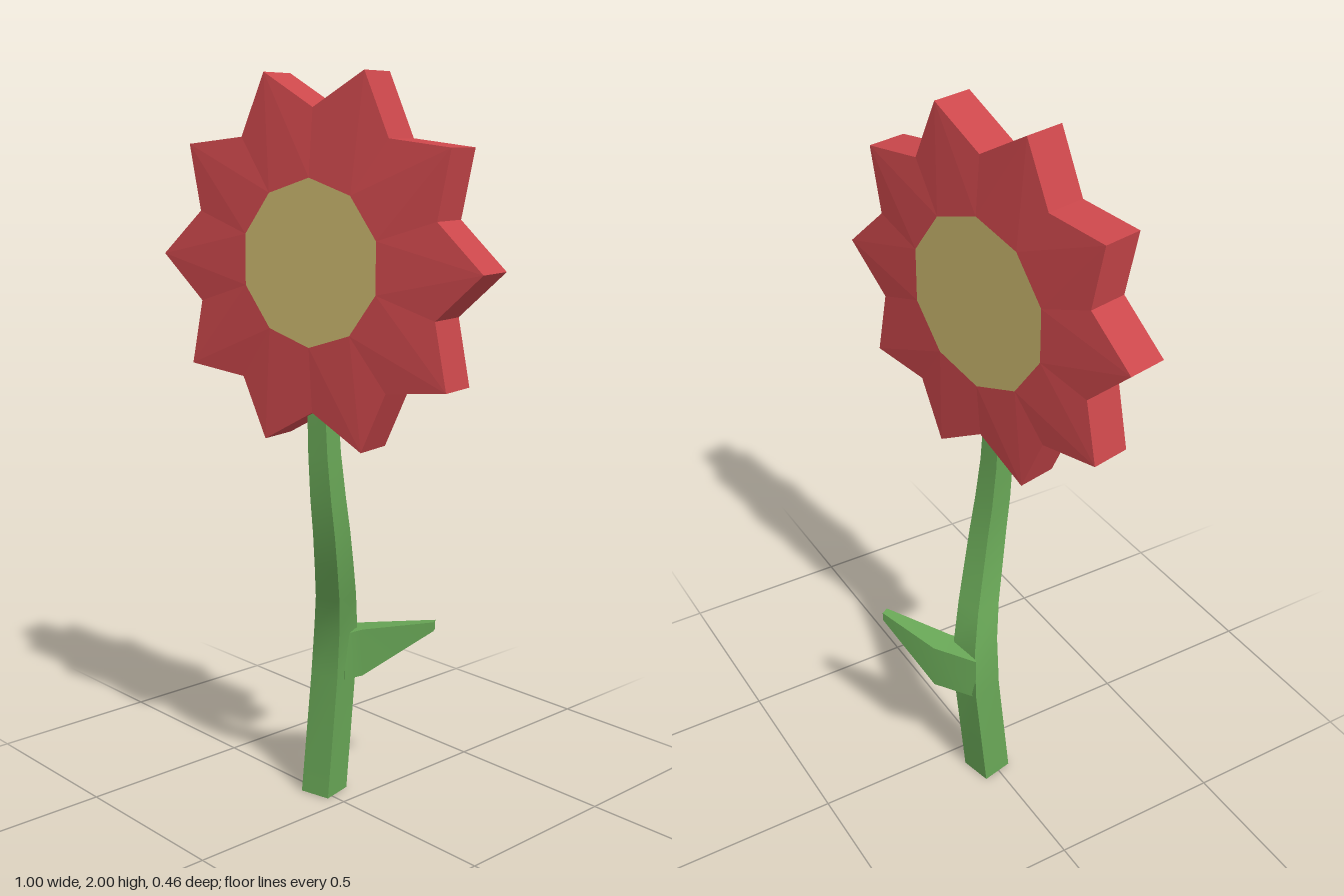
import * as THREE from 'three';

const YAW = 0.218;
const V = (x, y, z) => new THREE.Vector3(x, y, z);

// Joins four-cornered rings; each side is its own strip, so the long edges stay sharp
function loft(rings) {
  const pos = [], idx = [];
  for (let j = 0; j < 4; j++) {
    const base = pos.length / 3;
    rings.forEach((r, i) => {
      pos.push(...r[j].toArray(), ...r[(j + 1) % 4].toArray());
      if (i) {
        const a = base + (i - 1) * 2;
        idx.push(a, a + 1, a + 3, a, a + 3, a + 2);
      }
    });
  }
  const cap = (r) => {
    const b = pos.length / 3;
    r.forEach((p) => pos.push(...p.toArray()));
    idx.push(b, b + 1, b + 2, b, b + 2, b + 3);
  };
  cap([...rings[0]].reverse());
  cap(rings[rings.length - 1]);
  const g = new THREE.BufferGeometry();
  g.setAttribute('position', new THREE.Float32BufferAttribute(pos, 3));
  g.setIndex(idx);
  g.computeVertexNormals();
  return g;
}

// Builds a flat-faced geometry from a list of triangles
function facets(tris) {
  const g = new THREE.BufferGeometry().setFromPoints(tris.flat());
  g.computeVertexNormals();
  return g;
}

export function createModel() {
  const red = new THREE.MeshStandardMaterial({ color: 0xcb474b });
  red.name = 'petal red';
  const yellow = new THREE.MeshStandardMaterial({ color: 0xc8b46c });
  yellow.name = 'seed yellow';
  const green = new THREE.MeshStandardMaterial({ color: 0x68a656 });
  green.name = 'stem green';

  const model = new THREE.Group();
  model.name = 'flower';
  const add = (parent, name, geo, mat) => {
    const m = new THREE.Mesh(geo, mat);
    m.name = name;
    parent.add(m);
  };

  // Stem: square section, tapering, bending up to the head [x, y, z, half side]
  const stemPath = [
    [-0.1, 0, -0.015, 0.046], [-0.098, 0.35, -0.05, 0.045], [-0.08, 0.5, -0.043, 0.043],
    [-0.045, 0.6, -0.012, 0.04], [-0.017, 0.7, 0.02, 0.038], [0.001, 0.8, 0.045, 0.036],
    [0.007, 0.9, 0.063, 0.034], [0.006, 1.02, 0.074, 0.031], [0, 1.2, 0.078, 0.028],
  ];
  const corners = [[-1, 1], [1, 1], [1, -1], [-1, -1]];
  const up = V(0, 1, 0);
  add(model, 'stem', loft(stemPath.map(([x, y, z, h]) =>
    corners.map(([u, w]) => V(u * h, 0, w * h).applyAxisAngle(up, YAW).add(V(x, y, z))))), green);

  // Leaf: blade that leaves the back of the stem, then turns left
  // each ring: inner x, z, outer x, z, low y, high y
  const leafRings = [
    [-0.05, -0.05, -0.145, -0.08, 0.34, 0.475],
    [-0.02, -0.09, -0.045, -0.16, 0.35, 0.487],
    [0.14, -0.21, 0.128, -0.23, 0.495, 0.521],
  ];
  add(model, 'leaf', loft(leafRings.map(([ix, iz, ox, oz, lo, hi]) =>
    [V(ix, lo, iz), V(ox, lo, oz), V(ox, hi, oz), V(ix, hi, iz)])), green);

  // Head: ten-pointed star, its two faces rising slightly to the seed discs
  const head = new THREE.Group();
  head.name = 'flowerHead';
  head.position.set(-0.0025, 1.525, 0.0625);
  head.rotation.set(0, YAW, -0.008);
  model.add(head);

  const N = 10, H = 0.0565;
  const at = (r, k, z) => V(r * Math.cos(k * Math.PI / N), r * Math.sin(k * Math.PI / N), z);
  const rimPoint = (k, z) => at(k % 2 ? 0.387 : 0.499, k, z);

  for (const [side, s, discR, bulge] of [['front', 1, 0.215, 0.016], ['back', -1, 0.235, 0.013]]) {
    const petals = [], seeds = [];
    const z = s * H, dz = s * (H + bulge);
    const push = (list, a, b, c) => list.push(s > 0 ? [a, b, c] : [a, c, b]);
    for (let k = 0; k < 2 * N; k += 2) {
      const d0 = at(discR, k - 1, dz), d1 = at(discR, k + 1, dz);
      const v0 = rimPoint(k + 2 * N - 1, z), tip = rimPoint(k, z), v1 = rimPoint(k + 1, z);
      push(petals, d0, v0, tip);
      push(petals, d0, tip, d1);
      push(petals, d1, tip, v1);
      push(seeds, V(0, 0, dz), d0, d1);
    }
    add(head, side + 'Petals', facets(petals), red);
    add(head, side + 'SeedDisc', facets(seeds), yellow);
  }

  // Outer walls of the petals
  const rim = [];
  for (let k = 0; k < 2 * N; k++) {
    const a = rimPoint(k, -H), b = rimPoint(k + 1, -H), c = rimPoint(k + 1, H), d = rimPoint(k, H);
    rim.push([a, b, c], [a, c, d]);
  }
  add(head, 'petalRim', facets(rim), red);

  return model;
}
